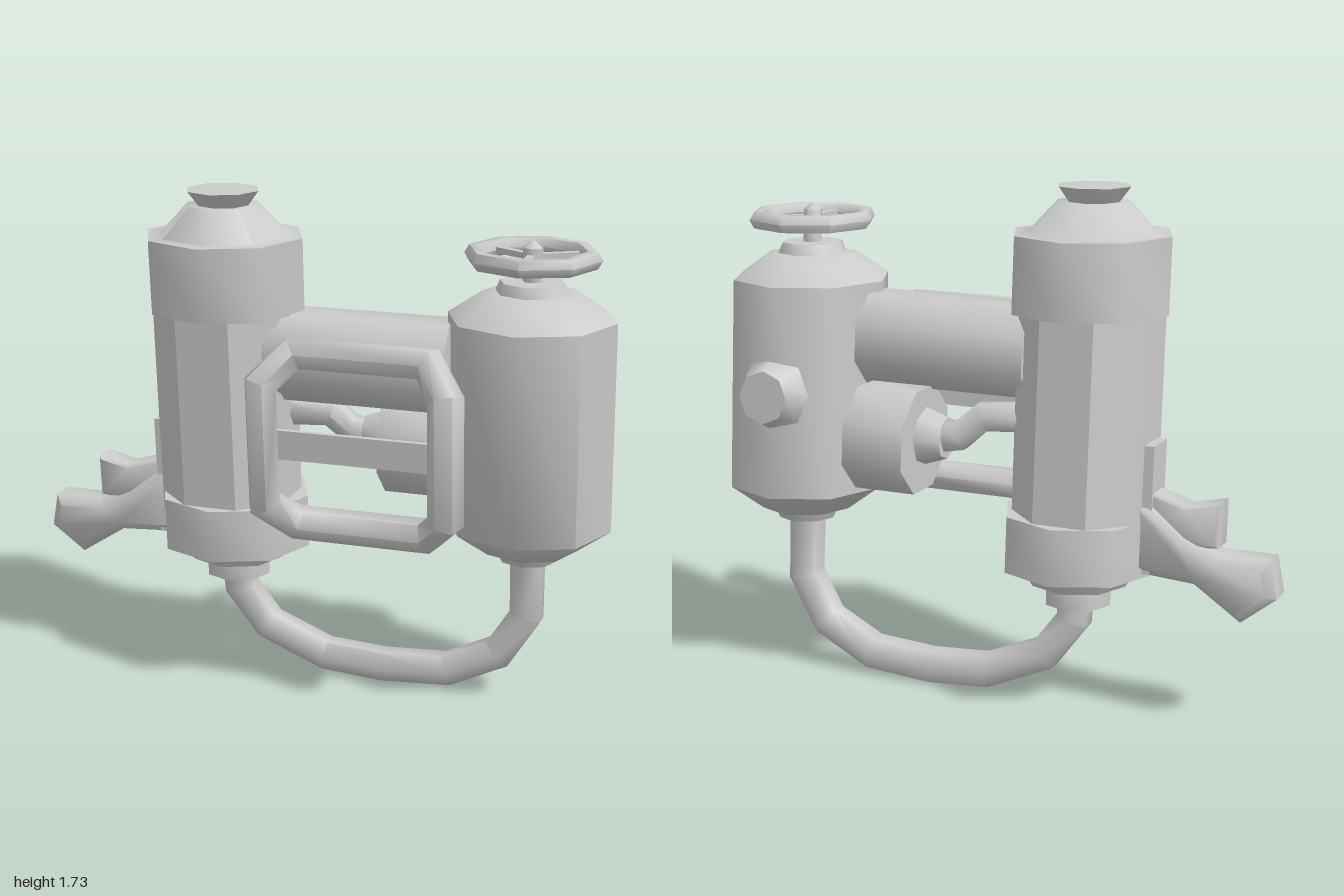
import * as THREE from 'three';
import { toCreasedNormals } from 'three/addons/utils/BufferGeometryUtils.js';

// Mitred polyline, so that a tube gets one ring per given point
class Polyline extends THREE.Curve {
  constructor(points, closed = false) {
    super();
    this.pts = points.map(p => new THREE.Vector3(...p));
    this.closed = closed;
    this.count = closed ? this.pts.length : this.pts.length - 1;
  }
  at(i) {
    const n = this.pts.length;
    return this.closed ? this.pts[(i + n) % n] : this.pts[Math.min(Math.max(i, 0), n - 1)];
  }
  getPoint(t) {
    const f = t * this.count, i = Math.floor(f + 1e-6);
    return this.at(i).clone().lerp(this.at(i + 1), Math.max(0, f - i));
  }
  getPointAt(t) { return this.getPoint(t); }
  getTangentAt(t) {
    const i = Math.round(t * this.count), p = this.at(i);
    const a = p.clone().sub(this.at(i - 1)).normalize();
    const b = this.at(i + 1).clone().sub(p).normalize();
    return a.add(b).normalize();
  }
  getTangent(t) { return this.getTangentAt(t); }
}

export function createModel() {
  const model = new THREE.Group();
  const material = new THREE.MeshStandardMaterial({ color: 0xcccccc, side: THREE.DoubleSide });

  // The whole assembly leans slightly forward: z grows with height
  const lean = new THREE.Matrix4().set(
    1, 0, 0, 0,
    0, 1, 0, 0,
    0, 0.08, 1, -0.08 * 1.55,
    0, 0, 0, 1);

  const add = (name, geometry, crease = 0.87) => {
    geometry.applyMatrix4(lean);
    const mesh = new THREE.Mesh(toCreasedNormals(geometry, crease), material);
    mesh.name = name;
    model.add(mesh);
  };
  const lathe = (profile, x, turn = 0) =>
    new THREE.LatheGeometry(profile.map(p => new THREE.Vector2(...p)), 8).rotateY(turn).translate(x, 0, 0);
  const box = (w, h, d, x, y, z) => new THREE.BoxGeometry(w, h, d).translate(x, y, z);
  const tube = (points, radius, sides, closed = false) => {
    const path = new Polyline(points, closed);
    return new THREE.TubeGeometry(path, path.count, radius, sides, closed);
  };
  const barAlongX = (x0, x1, r0, r1, y, z, turn = 0) =>
    new THREE.CylinderGeometry(r1, r0, x1 - x0, 8).rotateY(turn).rotateZ(-Math.PI / 2)
      .translate((x0 + x1) / 2, y, z);
  const plate = (outline, depth, bevel) => new THREE.ExtrudeGeometry(
    new THREE.Shape(outline.map(p => new THREE.Vector2(...p))),
    { depth: depth - 2 * bevel, bevelSize: bevel, bevelThickness: bevel, bevelOffset: -bevel, bevelSegments: 1 }
  ).translate(0, 0, -depth / 2 + bevel);

  // Slim canister with its collars and stopper
  const cx = -0.31;
  add('canisterBody', lathe([[0.24, 0.6], [0.24, 1.4]], cx - 0.01, Math.PI / 8), 0.6);
  add('canisterBase', lathe([[0, 0.36], [0.115, 0.36], [0.115, 0.43], [0.165, 0.43], [0.2, 0.485],
    [0.265, 0.485], [0.265, 0.67], [0.2, 0.67]], cx));
  add('canisterCap', lathe([[0.2, 1.33], [0.272, 1.33], [0.272, 1.58], [0.22, 1.58], [0.125, 1.68], [0, 1.68]], cx));
  add('canisterStopper', lathe([[0.08, 1.67], [0.125, 1.73], [0, 1.735]], cx));

  // Wide tank
  const tx = 0.725;
  add('tank', lathe([[0, 0.53], [0.1, 0.53], [0.12, 0.57], [0.16, 0.57], [0.275, 0.655], [0.275, 1.37],
    [0.16, 1.45], [0.12, 1.455], [0.105, 1.49], [0, 1.49]], tx));
  add('tankBoss', new THREE.CylinderGeometry(0.09, 0.13, 0.08, 8).rotateX(-Math.PI / 2)
    .translate(tx, 1.01, -0.28));

  // Valve wheel with three spokes
  add('valveStem', lathe([[0.032, 1.48], [0.032, 1.6], [0, 1.625]], tx));
  add('valveWheel', new THREE.TorusGeometry(0.19, 0.032, 6, 8).rotateX(Math.PI / 2).translate(tx, 1.57, 0), 1.1);
  for (let i = 0; i < 3; i++) {
    add('valveSpoke', new THREE.BoxGeometry(0.025, 0.02, 0.18).translate(0, 0, 0.09)
      .rotateY(i * Math.PI * 2 / 3).translate(tx, 1.57, 0));
  }

  // Hose between both bottom outlets
  add('hose', tube([[-0.305, 0.42, 0], [-0.3, 0.3, 0], [-0.2, 0.165, 0], [0.01, 0.075, 0], [0.22, 0.06, 0],
    [0.45, 0.075, 0], [0.63, 0.165, 0], [0.725, 0.32, 0], [0.725, 0.56, 0]], 0.062, 6), 1.1);

  // Cross body and small pump behind the frame
  add('crossBody', barAlongX(-0.14, 0.47, 0.163, 0.163, 1.185, 0, Math.PI / 8));
  add('pump', barAlongX(0.22, 0.44, 0.185, 0.185, 0.875, -0.11, Math.PI / 8));
  add('pumpCollar', barAlongX(0.14, 0.23, 0.07, 0.1, 0.885, -0.1));
  add('pumpPipe', tube([[0.16, 0.89, -0.1], [0.09, 0.9, -0.1], [0.02, 0.965, -0.08], [-0.14, 0.97, -0.04]],
    0.055, 6), 1.1);

  // Front guard frame, its sides bowed forward
  const corners = [[0.225, 0.295, 0.235], [0.305, 0.205, 0.325]];
  const ring = [];
  for (const [sx, sy] of [[1, 1], [1, -1], [-1, -1], [-1, 1]]) {
    const pair = corners.map(([x, y, z]) => [0.22 + sx * x, 0.955 + sy * y, z]);
    ring.push(...(sx * sy > 0 ? pair : pair.reverse()));
  }
  add('guardFrame', tube(ring, 0.06, 6, true), 1.1);
  add('guardBar', box(0.54, 0.1, 0.02, 0.22, 0.95, 0.29));

  // Spray gun hung on the canister
  add('gunHolder', box(0.06, 0.42, 0.12, -0.545, 0.71, 0));
  add('gunBody', plate([[-1, 0.47], [-0.885, 0.38], [-0.725, 0.485], [-0.5, 0.5], [-0.5, 0.74], [-0.57, 0.735],
    [-0.69, 0.64], [-0.8, 0.59], [-0.975, 0.59]], 0.145, 0.03));
  add('gunLever', plate([[-0.8, 0.755], [-0.8, 0.61], [-0.7, 0.6], [-0.54, 0.66], [-0.54, 0.775], [-0.69, 0.73]],
    0.1, 0.01));

  return model;
}
